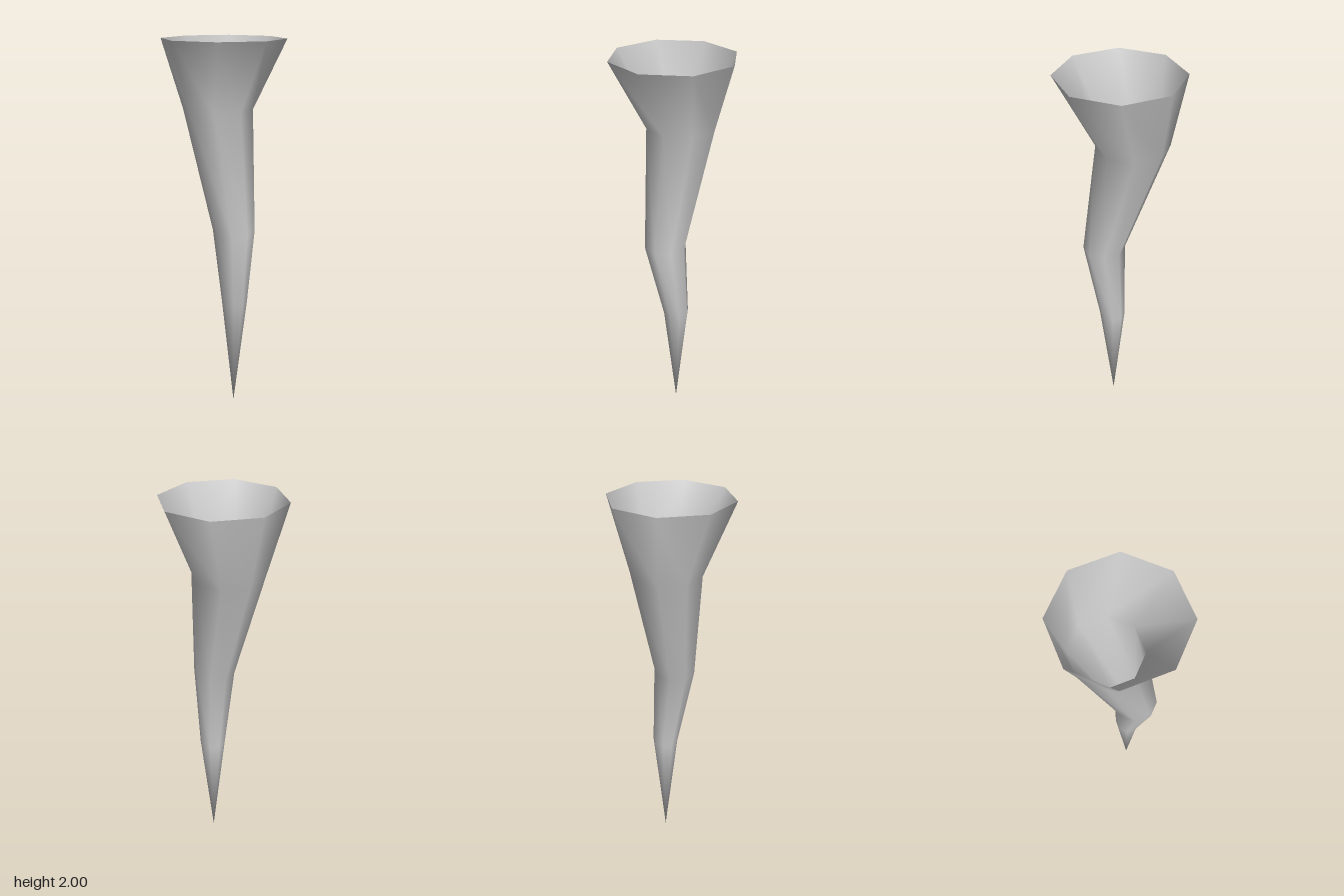
import * as THREE from 'three';

const SIDES = 8;

// Octagonal cross-sections from bottom to top: [centre x, y, centre z, radius]
const TIP = [0.057, 0, 0];
const RINGS = [
  [0.06, 0.61, 0.002, 0.068],
  [0.059, 1.04, 0.06, 0.109],
  [-0.034, 1.65, -0.052, 0.179],
  [0, 2, 0, 0.31],
];

// Crooked hollow spike: one shared tip vertex, open at the wide end
function spikeGeometry() {
  const positions = [...TIP];
  for (const [cx, y, cz, r] of RINGS) {
    for (let j = 0; j < SIDES; j++) {
      const a = (j / SIDES) * Math.PI * 2;
      positions.push(cx + r * Math.cos(a), y, cz + r * Math.sin(a));
    }
  }
  const at = (ring, j) => 1 + ring * SIDES + (j % SIDES);
  const index = [];
  for (let j = 0; j < SIDES; j++) {
    index.push(0, at(0, j), at(0, j + 1));
    for (let i = 0; i < RINGS.length - 1; i++) {
      index.push(at(i, j), at(i + 1, j), at(i + 1, j + 1));
      index.push(at(i, j), at(i + 1, j + 1), at(i, j + 1));
    }
  }
  const geometry = new THREE.BufferGeometry();
  geometry.setAttribute('position', new THREE.Float32BufferAttribute(positions, 3));
  geometry.setIndex(index);
  geometry.computeVertexNormals();
  return geometry;
}

export function createModel() {
  const group = new THREE.Group();
  group.name = 'crookedSpike';
  const material = new THREE.MeshStandardMaterial({ color: 0xcccccc, side: THREE.DoubleSide });
  const spike = new THREE.Mesh(spikeGeometry(), material);
  spike.name = 'spikeShell';
  group.add(spike);
  return group;
}
